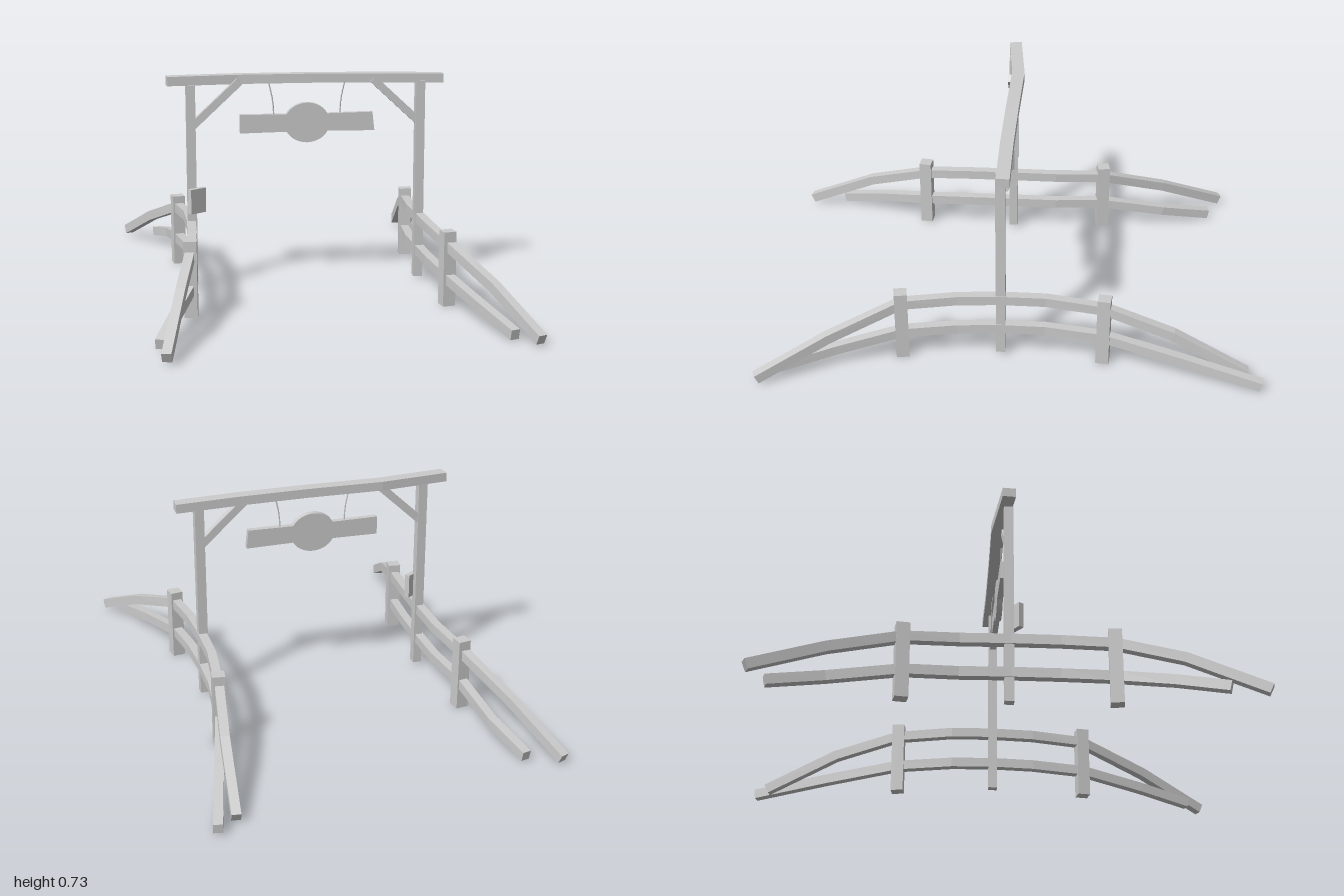
import * as THREE from 'three';

const mat = new THREE.MeshStandardMaterial({ color: 0xcccccc, flatShading: true });

// Squared timber swept through a few points, mitred at each bend
function timber(name, points, w, h) {
  const p = points.map(a => new THREE.Vector3(...a));
  const up = new THREE.Vector3(0, 1, 0);
  const rings = p.map((c, i) => {
    const t = new THREE.Vector3();
    if (i > 0) t.add(c.clone().sub(p[i - 1]).normalize());
    if (i < p.length - 1) t.add(p[i + 1].clone().sub(c).normalize());
    t.normalize();
    const s = up.clone().cross(t).normalize();
    const n = t.clone().cross(s);
    return [[1, 1], [-1, 1], [-1, -1], [1, -1]].map(([a, b]) =>
      c.clone().addScaledVector(s, a * w / 2).addScaledVector(n, b * h / 2));
  });
  const pos = [];
  const quad = (a, b, c, d) => [a, b, c, a, c, d].forEach(v => pos.push(v.x, v.y, v.z));
  for (let i = 0; i < rings.length - 1; i++) {
    for (let k = 0; k < 4; k++) {
      const m = (k + 1) % 4;
      quad(rings[i][k], rings[i][m], rings[i + 1][m], rings[i + 1][k]);
    }
  }
  quad(...rings[rings.length - 1]);
  quad(...rings[0].slice().reverse());
  const geo = new THREE.BufferGeometry();
  geo.setAttribute('position', new THREE.Float32BufferAttribute(pos, 3));
  geo.computeVertexNormals();
  return named(name, geo);
}

function named(name, geo) {
  const mesh = new THREE.Mesh(geo, mat);
  mesh.name = name;
  return mesh;
}

// Upright square post turned to follow the direction (dx, dz)
function post(name, x, z, y0, y1, w, dx, dz) {
  const mesh = named(name, new THREE.BoxGeometry(w, y1 - y0, w));
  mesh.position.set(x, (y0 + y1) / 2, z);
  mesh.rotation.y = Math.atan2(-dz, dx);
  return mesh;
}

// Curved fence: two rails through two short posts
function fence(name, upper, lower, posts) {
  const g = new THREE.Group();
  g.name = name;
  g.add(timber('upperRail', upper, 0.03, 0.033));
  g.add(timber('lowerRail', lower, 0.03, 0.033));
  for (const [x, z, dx, dz] of posts) g.add(post('fencePost', x, z, 0, 0.25, 0.043, dx, dz));
  return g;
}

export function createModel() {
  const model = new THREE.Group();

  // Fences on both sides of the path
  model.add(fence('leftFence',
    [[0.82, 0.018, -0.395], [0.66, 0.142, -0.21], [0.505, 0.207, -0.048], [0.378, 0.219, 0.1], [0.295, 0.22, 0.22],
      [0.217, 0.217, 0.344], [0.13, 0.205, 0.505], [0.075, 0.125, 0.75], [0.02, 0.02, 0.985]],
    [[0.9, 0.02, -0.395], [0.7, 0.06, -0.22], [0.505, 0.095, -0.048], [0.378, 0.104, 0.1], [0.295, 0.106, 0.22],
      [0.217, 0.103, 0.344], [0.13, 0.093, 0.505], [0.055, 0.055, 0.72], [0, 0.02, 0.9]],
    [[0.505, -0.045, 0.66, -0.75], [0.13, 0.505, 0.42, -0.9]]));
  model.add(fence('rightFence',
    [[-0.905, 0.02, 0.355], [-0.72, 0.142, 0.185], [-0.565, 0.205, 0.035], [-0.455, 0.217, -0.095], [-0.362, 0.22, -0.22],
      [-0.272, 0.217, -0.355], [-0.193, 0.207, -0.515], [-0.135, 0.125, -0.75], [-0.08, 0.02, -0.985]],
    [[-0.845, 0.02, 0.243], [-0.71, 0.06, 0.145], [-0.565, 0.093, 0.035], [-0.455, 0.103, -0.095], [-0.362, 0.106, -0.22],
      [-0.272, 0.103, -0.355], [-0.193, 0.095, -0.515], [-0.08, 0.057, -0.715], [-0.018, 0.02, -0.885]],
    [[-0.565, 0.035, 0.66, -0.75], [-0.193, -0.515, 0.42, -0.9]]));

  // Gateway: two tall posts, bowed crossbeam and diagonal braces
  const gate = new THREE.Group();
  gate.name = 'gateway';
  const a = new THREE.Vector3(-0.355, 0, -0.222), b = new THREE.Vector3(0.292, 0, 0.22);
  const dir = b.clone().sub(a).normalize();
  for (const [p, side] of [[a, 1], [b, -1]]) {
    gate.add(post('gatePost', p.x, p.z, 0.01, 0.7, 0.031, dir.x, dir.z));
    const q = p.clone().addScaledVector(dir, side * 0.165);
    gate.add(timber('brace', [[p.x, 0.555, p.z], [q.x, 0.708, q.z]], 0.024, 0.026));
  }
  gate.add(timber('crossbeam', [[-0.418, 0.714, -0.268], [-0.21, 0.714, -0.152],
    [0, 0.714, 0], [0.19, 0.711, 0.135], [0.365, 0.706, 0.255]], 0.043, 0.031));
  model.add(gate);

  // Hanging sign: a plank with an oval centre, on two cords
  const sign = new THREE.Group();
  sign.name = 'hangingSign';
  const cut = Math.asin(0.03 / 0.068), ox = 0.078 * Math.cos(cut);
  const shape = new THREE.Shape();
  shape.moveTo(-0.228, -0.032);
  shape.lineTo(-ox, -0.03);
  shape.absellipse(0, 0, 0.078, 0.068, Math.PI + cut, 2 * Math.PI - cut, false);
  shape.lineTo(0.232, -0.032);
  shape.lineTo(0.225, 0.032);
  shape.lineTo(ox, 0.03);
  shape.absellipse(0, 0, 0.078, 0.068, cut, Math.PI - cut, false);
  shape.lineTo(-0.228, 0.031);
  const board = new THREE.ExtrudeGeometry(shape, { depth: 0.02, bevelEnabled: false, curveSegments: 10 });
  board.translate(0, 0, -0.01);
  sign.add(named('signBoard', board));
  for (const s of [-1, 1]) {
    const path = new THREE.CatmullRomCurve3([[0.113, 0.028], [0.117, 0.08], [0.13, 0.14]]
      .map(([x, y]) => new THREE.Vector3(s * x, y, 0)));
    sign.add(named('cord', new THREE.TubeGeometry(path, 4, 0.0025, 5)));
  }
  sign.position.set(-0.027, 0.563, -0.004);
  sign.rotation.y = Math.atan2(-dir.z, dir.x);
  model.add(sign);

  // Small notice plate on one tall post
  const plate = named('noticePlate', new THREE.BoxGeometry(0.063, 0.084, 0.018));
  plate.position.set(-0.354, 0.308, -0.196);
  model.add(plate);

  return model;
}
